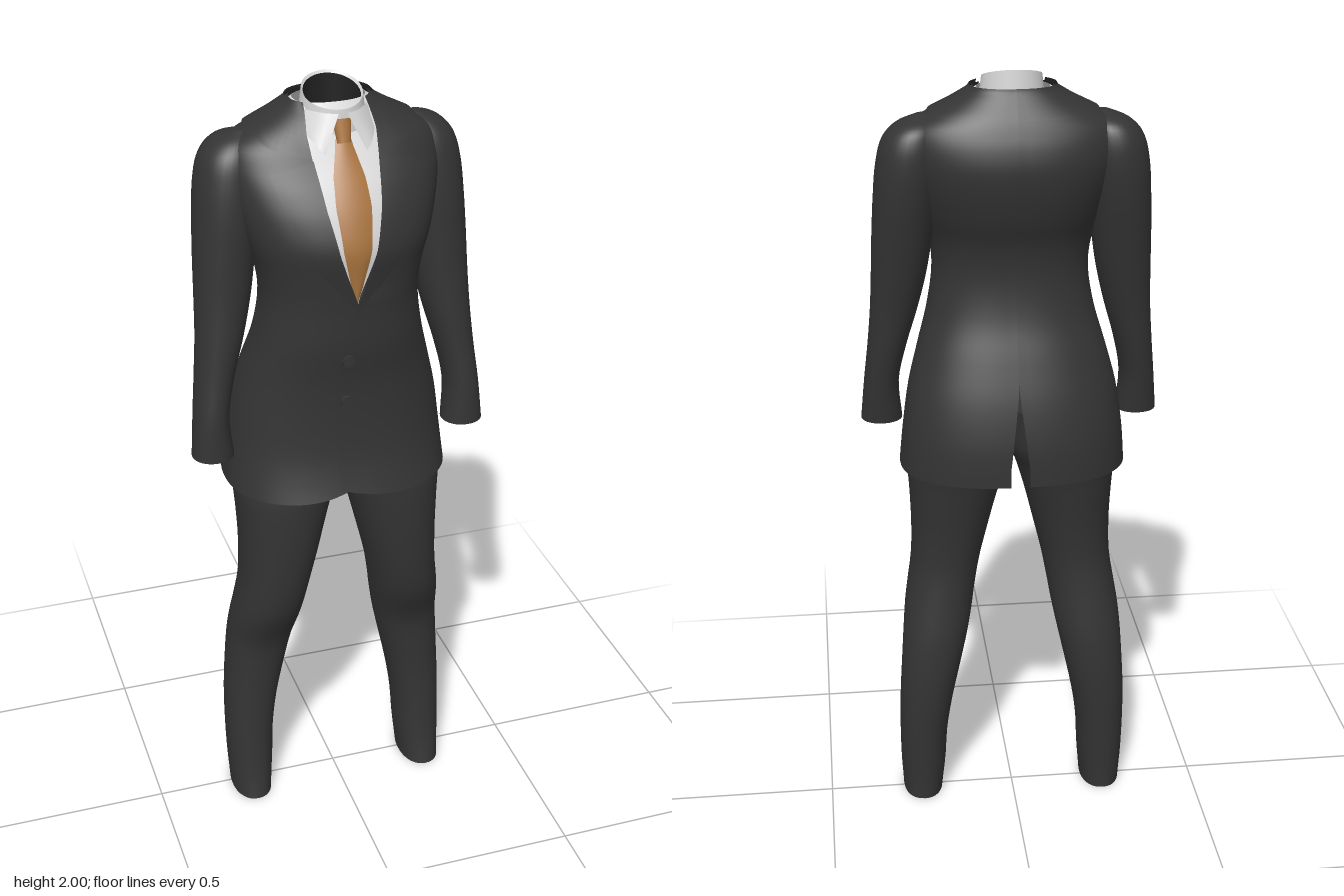
import * as THREE from 'three';
import { mergeVertices, mergeGeometries } from 'three/addons/utils/BufferGeometryUtils.js';

const { lerp, clamp } = THREE.MathUtils;
const TAU = Math.PI * 2;

const mat = (name, color) => {
  const m = new THREE.MeshStandardMaterial({ color, side: THREE.DoubleSide });
  m.name = name;
  return m;
};

// Smooth lookup in rows of [y, a, b, ...]
function smooth(rows, y) {
  const n = rows.length - 1;
  let i = 0;
  while (i < n - 1 && y > rows[i + 1][0]) i++;
  const p = rows[i], q = rows[i + 1], h = q[0] - p[0];
  const t = clamp((y - p[0]) / h, 0, 1), t2 = t * t, t3 = t2 * t;
  const slope = (k, c) => {
    const a = rows[Math.max(k - 1, 0)], b = rows[Math.min(k + 1, n)];
    return (b[c] - a[c]) / (b[0] - a[0]);
  };
  return p.slice(1).map((v, k) => (2 * t3 - 3 * t2 + 1) * v + (t3 - 2 * t2 + t) * h * slope(i, k + 1)
    + (3 * t2 - 2 * t3) * q[k + 1] + (t3 - t2) * h * slope(i + 1, k + 1));
}

// Straight lookup in pairs of [y, value]
function linear(rows, y) {
  let i = 0;
  while (i < rows.length - 2 && y > rows[i + 1][0]) i++;
  const [p, q] = [rows[i], rows[i + 1]];
  return lerp(p[1], q[1], clamp((y - p[0]) / (q[0] - p[0]), 0, 1));
}

// Surface from a rule f(u, v); u runs to the right and v up, seen from outside
function grid(f, nu, nv, flip = false) {
  const pos = [], idx = [];
  for (let j = 0; j <= nv; j++) for (let i = 0; i <= nu; i++) pos.push(...f(i / nu, j / nv));
  for (let j = 0; j < nv; j++) for (let i = 0; i < nu; i++) {
    const a = j * (nu + 1) + i, b = a + 1, c = a + nu + 1, d = c + 1;
    idx.push(...(flip ? [a, d, b, a, c, d] : [a, b, d, a, d, c]));
  }
  let g = new THREE.BufferGeometry();
  g.setAttribute('position', new THREE.Float32BufferAttribute(pos, 3));
  g.setIndex(idx);
  g = mergeVertices(g, 1e-5);
  g.computeVertexNormals();
  return g;
}

// Torso sections: y, half width, front z, back z
const TORSO = [
  [0.98, 0.288, 0.212, -0.214], [1.03, 0.284, 0.195, -0.214], [1.1, 0.277, 0.178, -0.21],
  [1.2, 0.262, 0.17, -0.19], [1.3, 0.236, 0.172, -0.158], [1.4, 0.208, 0.185, -0.124],
  [1.5, 0.194, 0.188, -0.11], [1.58, 0.203, 0.194, -0.12], [1.65, 0.225, 0.198, -0.148],
  [1.72, 0.245, 0.178, -0.168], [1.78, 0.258, 0.148, -0.175], [1.83, 0.262, 0.115, -0.167],
  [1.87, 0.248, 0.09, -0.152], [1.9, 0.2, 0.072, -0.137], [1.93, 0.14, 0.052, -0.118],
  [1.957, 0.095, 0.03, -0.1]];
const POW = 0.85;
const spow = (v, p) => Math.sign(v) * Math.abs(v) ** p;

function torso(y, a, off = 0) {
  const [w, f, b] = smooth(TORSO, y);
  return [(w + off) * spow(Math.sin(a), POW), y, (f + b) / 2 + ((f - b) / 2 + off) * spow(Math.cos(a), POW)];
}
// Angle on the torso front where a given x lies
const angleAt = (x, y, off = 0) => Math.asin(clamp(spow(x / (smooth(TORSO, y)[0] + off), 1 / POW), -1, 1));
const onFront = (x, y, off) => torso(y, angleAt(x, y, off), off);

// Half width of the neck opening, and front edge of the overlapping left panel
const OPENING = [[1.52, 0], [1.6, 0.03], [1.65, 0.047], [1.75, 0.068], [1.85, 0.08], [1.9, 0.084], [1.957, 0.075]];
const OVERLAP = [[0.98, -0.03], [1.05, -0.043], [1.3, -0.044], [1.42, -0.03], [1.52, 0]];
const frontEdge = (s, y) => y > 1.52 ? linear(OPENING, y) : s > 0 ? linear(OVERLAP, y) : 0;

// Sleeve and leg sections: y, inner x, outer x, back z, front z
const SLEEVE = [
  [1.095, 0.276, 0.381, 0, 0.105], [1.2, 0.283, 0.371, -0.018, 0.1], [1.3, 0.263, 0.36, -0.038, 0.088],
  [1.4, 0.234, 0.351, -0.056, 0.08], [1.5, 0.21, 0.346, -0.078, 0.072], [1.6, 0.194, 0.342, -0.1, 0.068],
  [1.7, 0.18, 0.336, -0.12, 0.064], [1.78, 0.17, 0.328, -0.128, 0.055], [1.84, 0.17, 0.311, -0.122, 0.04],
  [1.875, 0.18, 0.278, -0.1, 0.015], [1.895, 0.2, 0.23, -0.05, -0.02]];
const LEG = [
  [0, 0.194, 0.3, -0.074, 0.1], [0.04, 0.19, 0.302, -0.075, 0.09], [0.1, 0.184, 0.305, -0.08, 0.081],
  [0.2, 0.178, 0.306, -0.09, 0.074], [0.3, 0.163, 0.304, -0.1, 0.07], [0.4, 0.142, 0.298, -0.105, 0.073],
  [0.5, 0.12, 0.291, -0.101, 0.082], [0.57, 0.106, 0.284, -0.092, 0.112], [0.62, 0.098, 0.276, -0.086, 0.133],
  [0.7, 0.083, 0.264, -0.08, 0.149], [0.8, 0.059, 0.261, -0.09, 0.159], [0.9, 0.034, 0.264, -0.108, 0.164],
  [0.98, 0.01, 0.268, -0.125, 0.164], [1.04, -0.012, 0.26, -0.15, 0.155], [1.15, -0.012, 0.235, -0.16, 0.14]];

function limb(rows, s, pow) {
  const y0 = rows[0][0], y1 = rows[rows.length - 1][0];
  const ring = (u, y, k = 1) => {
    const [xi, xo, zb, zf] = smooth(rows, y), a = u * TAU;
    return [s * (xi + xo) / 2 + k * (xo - xi) / 2 * spow(Math.sin(a), pow), y,
      (zb + zf) / 2 + k * (zf - zb) / 2 * spow(Math.cos(a), pow)];
  };
  return mergeGeometries([
    grid((u, v) => ring(u, lerp(y0, y1, Math.sin(v * Math.PI / 2))), 32, 48),
    grid((u, v) => ring(u, y0, v), 32, 2),
    grid((u, v) => ring(u, y1, 1 - v), 32, 2)]);
}

export function createModel() {
  const suit = mat('charcoal cloth', 0x343434), shirtMat = mat('white cotton', 0xd6d6d6);
  const tieMat = mat('bronze silk', 0xa9743f), dark = mat('dark lining', 0x222222);
  const model = new THREE.Group();
  model.name = 'suit';
  const add = (name, geo, material) => {
    const m = new THREE.Mesh(geo, material);
    m.name = name;
    model.add(m);
    return m;
  };

  for (const s of [1, -1]) {
    const side = s > 0 ? 'left' : 'right', flip = s < 0;
    const mirror = ([x, y, z]) => [s * x, y, z];

    // Jacket half, from the front edge round to the back vent
    add(side + 'JacketPanel', grid((u, v) => {
      const hem = 0.985 + 0.035 * Math.exp(-u * 16) + 0.012 * u;
      const y = lerp(hem, 1.957, Math.sin(v * Math.PI / 2));
      const vent = 0.024 * clamp((1.24 - y) / 0.2, 0, 1);
      const a = lerp(angleAt(frontEdge(s, y), y), Math.PI - angleAt(vent, y), u);
      const lift = s > 0 && y < 1.54 ? 0.006 * Math.max(0, 1 - u * 4) : 0;
      return mirror(torso(y, a, lift));
    }, 40, 64, flip), suit);

    // Lapel with its pointed upper corner
    const LAPEL = [[1.5, 0.005], [1.54, 0.035], [1.6, 0.088], [1.66, 0.128], [1.75, 0.16], [1.825, 0.182]];
    add(side + 'Lapel', grid((u, v) => {
      const y = lerp(1.5, 1.825, v) + 0.025 * (1 - u) * v;
      const x = lerp(Math.max(0, frontEdge(-1, y)), linear(LAPEL, y), u);
      return mirror(onFront(x, y, 0.009 + 0.006 * Math.sin(Math.PI * v) * (1 - u)));
    }, 10, 24, flip), suit);

    // Folded jacket collar
    const FALL = [[0, 1.855], [0.14, 1.875], [0.3, 1.905], [0.6, 1.9], [1, 1.895]];
    add(side + 'JacketCollar', grid((u, v) => {
      const y = lerp(linear(FALL, u), 1.962, v);
      return mirror(torso(y, lerp(angleAt(linear(OPENING, y), y), Math.PI, u), 0.009));
    }, 28, 8, flip), suit);

    add(side + 'Sleeve', limb(SLEEVE, s, 0.95), suit);
    add(side + 'TrouserLeg', limb(LEG, s, 0.9), suit);

    // Pointed shirt collar leaf
    const [A, B, C, D] = [[0.05, 1.86, 0.104], [0.086, 1.9, 0.05], [0.01, 1.945, 0.077], [0.076, 1.945, 0.02]];
    add(side + 'CollarLeaf', grid((u, v) => A.map((_, k) =>
      s ** (k === 0 ? 1 : 2) * (lerp(lerp(A[k], B[k], u), lerp(C[k], D[k], u), v)
        + (k === 2 ? 0.012 * Math.sin(Math.PI * u) : 0))), 6, 4, flip), shirtMat);
  }

  // Shirt body under the jacket
  add('shirt', grid((u, v) => torso(lerp(1.46, 1.955, v), u * TAU, -0.011), 64, 32), shirtMat);

  // Standing shirt collar, higher at the back
  const neck = (u, y, k) => [0.077 * k * Math.sin(u * TAU), y, -0.006 + 0.075 * k * Math.cos(u * TAU)];
  const rim = (u) => 1.975 - 0.025 * Math.cos(u * TAU);
  add('shirtCollar', grid((u, v) =>
    neck(u, lerp(1.912 - 0.018 * Math.cos(u * TAU), rim(u), v), 1.04 - 0.1 * v), 40, 6), shirtMat);
  add('collarRim', grid((u, v) => neck(u, rim(u) - 0.006 * v, 0.94 - 0.06 * v), 40, 1), shirtMat);
  add('neckLining', grid((u, v) =>
    neck(u, lerp(rim(u) - 0.006, 1.76, Math.min(1, v * 1.25)), v < 0.81 ? 0.88 : 0), 40, 10), dark);

  // Tie blade and knot
  const TIE = [[1.515, 0.001], [1.56, 0.014], [1.65, 0.034], [1.75, 0.043], [1.81, 0.038], [1.88, 0.019]];
  add('tieBlade', grid((u, v) => {
    const y = lerp(1.515, 1.885, v), p = onFront((u * 2 - 1) * linear(TIE, y), y, -0.003);
    p[2] += 0.005 * (1 - (u * 2 - 1) ** 2);
    return p;
  }, 8, 24), tieMat);
  const knot = add('tieKnot', new THREE.CylinderGeometry(0.023, 0.016, 0.055, 16), tieMat);
  knot.position.set(0, 1.903, 0.076);
  knot.rotation.x = -0.35;
  knot.scale.z = 0.7;

  // Front buttons
  for (const y of [1.37, 1.255]) {
    const button = add('button', new THREE.CylinderGeometry(0.015, 0.016, 0.008, 20), suit);
    button.position.set(-0.02, y, onFront(-0.02, y, 0.008)[2]);
    button.rotation.x = Math.PI / 2;
  }
  return model;
}
